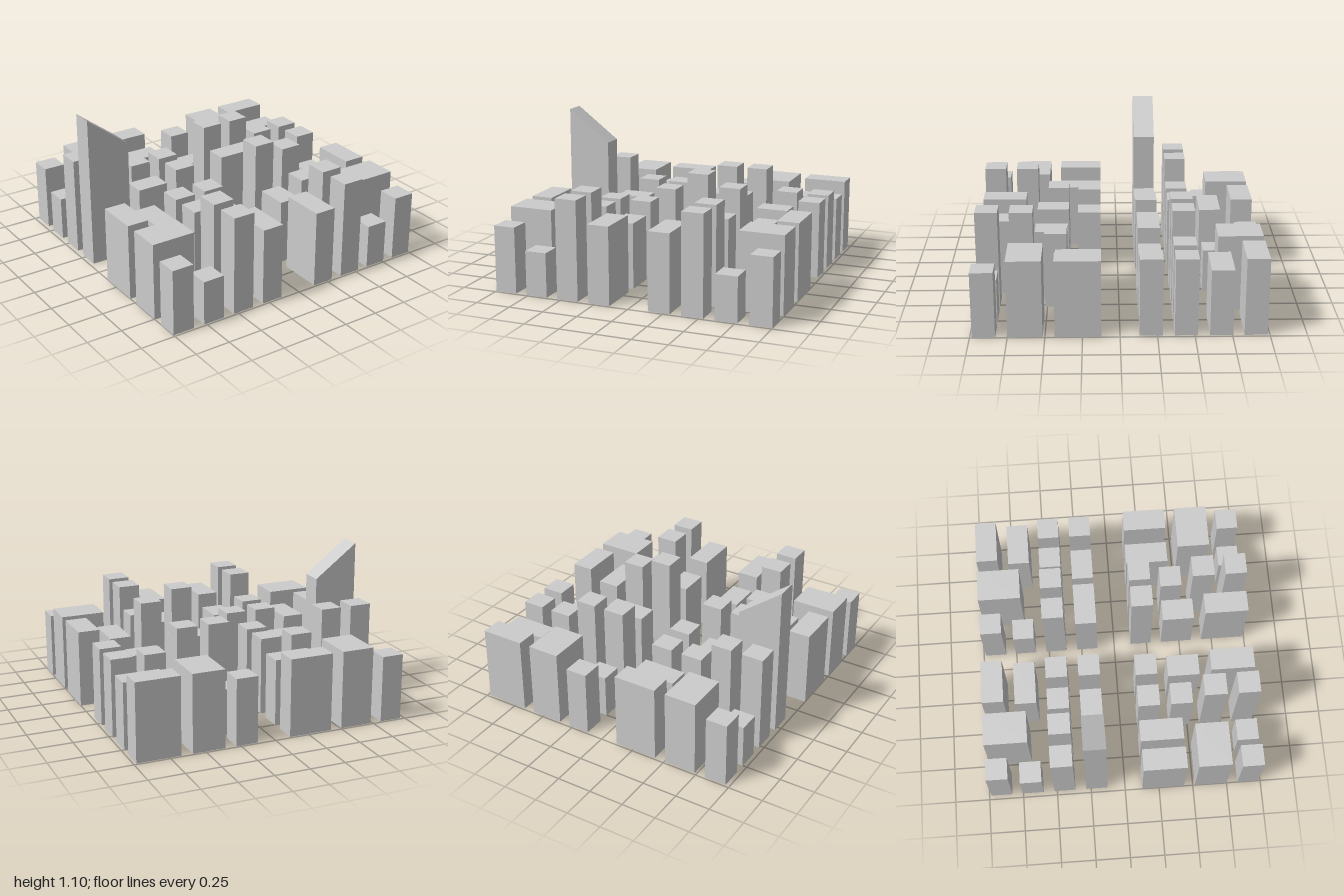
import * as THREE from 'three';

const material = new THREE.MeshStandardMaterial({ color: 0xcccccc, side: THREE.DoubleSide, flatShading: true });

// Hollow block with walls and roof, open underneath; the roof may slope from h (at x0) to hEnd (at x1)
function block(name, x0, x1, z0, z1, h, hEnd = h) {
  const g = new THREE.BoxGeometry(x1 - x0, 1, z1 - z0).translate((x0 + x1) / 2, 0.5, (z0 + z1) / 2);
  const faces = Array.from(g.index.array);
  faces.splice(18, 6); // floor
  g.setIndex(faces);
  g.clearGroups();
  const p = g.attributes.position;
  for (let i = 0; i < p.count; i++) {
    if (p.getY(i) > 0.5) p.setY(i, p.getX(i) < (x0 + x1) / 2 ? h : hEnd);
  }
  g.computeVertexNormals();
  const mesh = new THREE.Mesh(g, material);
  mesh.name = name;
  return mesh;
}

// Back district, laid out from its left-hand street corner: x0, x1, z0, z1, height
const backBlocks = [
  [0, 0.155, -0.985, -0.83, 0.47],
  [0, 0.155, -0.755, -0.6, 0.315],
  [0.235, 0.465, -0.985, -0.675, 0.55],
  [0.545, 0.855, -0.985, -0.83, 0.55],
  [0.545, 0.855, -0.755, -0.6, 0.47],
  [0, 0.155, -0.52, -0.365, 0.705],
  [0.235, 0.385, -0.52, -0.365, 0.705],
  [0.465, 0.62, -0.52, -0.365, 0.55],
  [0.7, 0.855, -0.52, -0.365, 0.55],
  [0.39, 0.62, -0.285, -0.13, 0.47],
  [0.7, 0.855, -0.285, -0.13, 0.55],
];

// Front district for +x, mirrored to -x; a sixth value is the height on the -x side
const frontBlocks = [
  [0.845, 1, 0.125, 0.435, 0.55],
  [0.61, 0.765, 0.125, 0.435, 0.47],
  [0.375, 0.53, 0.125, 0.28, 0.705, 0.55],
  [0.14, 0.295, 0.125, 0.28, 0.785, 0.55],
  [0.375, 0.53, 0.36, 0.515, 0.55],
  [0.14, 0.295, 0.36, 0.59, 0.47],
  [0.685, 1, 0.515, 0.75, 0.55],
  [0.375, 0.53, 0.59, 0.75, 0.705],
  [0.14, 0.295, 0.67, 0.985, 0.55],
  [0.845, 1, 0.83, 0.985, 0.47],
  [0.61, 0.765, 0.83, 0.985, 0.315],
  [0.375, 0.53, 0.83, 0.985, 0.705],
];

export function createModel() {
  const city = new THREE.Group();
  city.name = 'cityBlocks';

  // Back districts
  for (const [side, corner] of [['West', -0.97], ['East', 0.125]]) {
    const district = new THREE.Group();
    district.name = 'back' + side + 'District';
    for (const [x0, x1, z0, z1, h] of backBlocks) {
      district.add(block('building', corner + x0, corner + x1, z0, z1, h));
    }
    // The street-side plot holds a slanted tower on one side and a plain building on the other
    district.add(side === 'West'
      ? block('slantedTower', corner, corner + 0.31, -0.285, -0.13, 1.095, 0.86)
      : block('building', corner, corner + 0.31, -0.285, -0.13, 0.55));
    city.add(district);
  }

  // Front districts
  for (const s of [-1, 1]) {
    const district = new THREE.Group();
    district.name = s < 0 ? 'frontWestDistrict' : 'frontEastDistrict';
    for (const [a, b, z0, z1, h, hWest = h] of frontBlocks) {
      const [x0, x1] = s < 0 ? [-b, -a] : [a, b];
      district.add(block('building', x0, x1, z0, z1, s < 0 ? hWest : h));
    }
    city.add(district);
  }
  return city;
}
